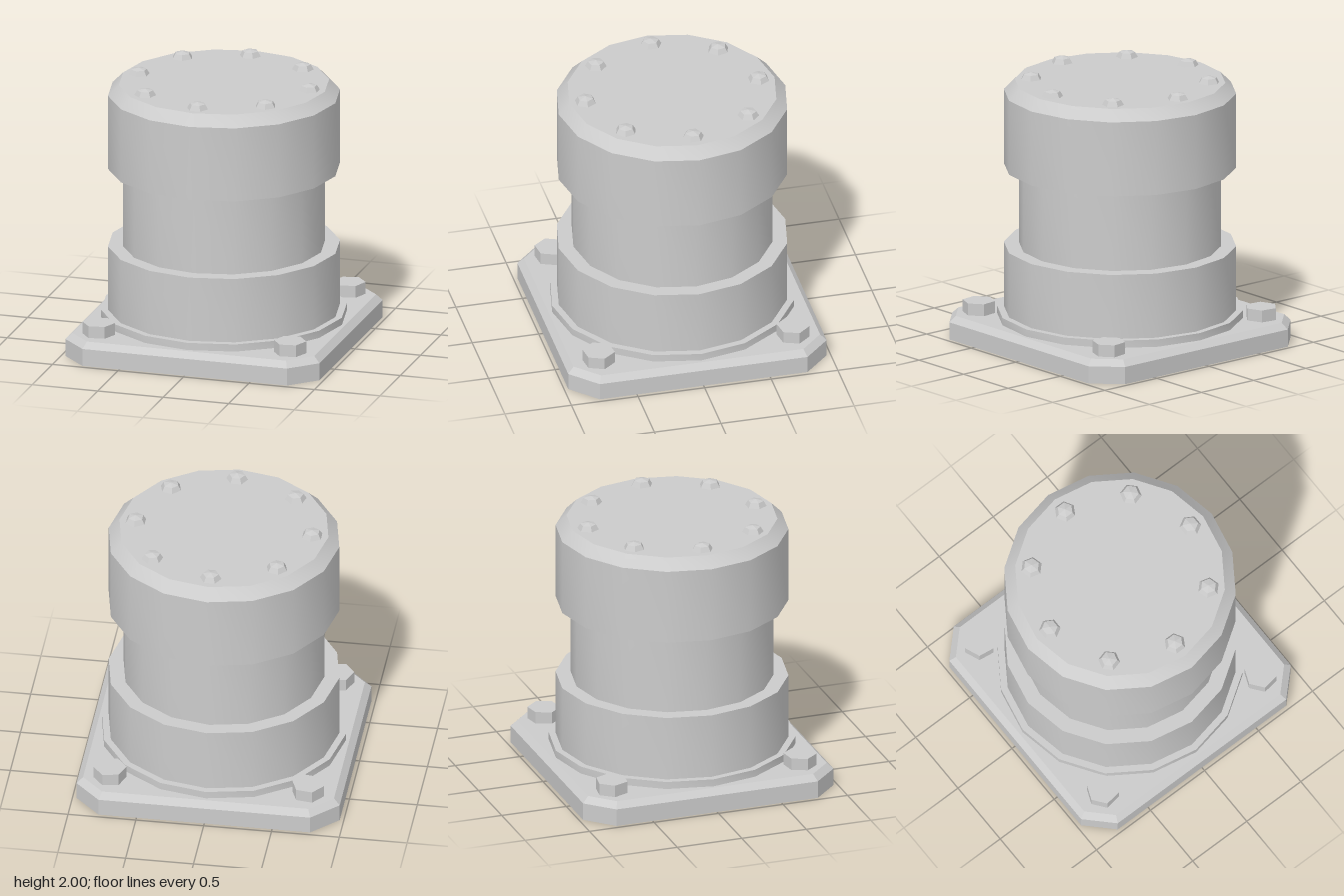
import * as THREE from 'three';
import { toCreasedNormals } from 'three/addons/utils/BufferGeometryUtils.js';
import { ConvexGeometry } from 'three/addons/geometries/ConvexGeometry.js';

const SIDES = 16;
const grey = new THREE.MeshStandardMaterial({ color: 0xcccccc });
const flatGrey = new THREE.MeshStandardMaterial({ color: 0xcccccc, flatShading: true });

function addMesh(parent, name, geometry, material = grey) {
  const mesh = new THREE.Mesh(geometry, material);
  mesh.name = name;
  parent.add(mesh);
  return mesh;
}

// Turned part from [radius, height] points, smooth around and sharp at its rims
function turned(profile) {
  const points = profile.map(([r, y]) => new THREE.Vector2(r, y));
  return toCreasedNormals(new THREE.LatheGeometry(points, SIDES), Math.PI / 6);
}

// Square outline with cut corners at height y
function cutSquare(half, corner, y) {
  const points = [];
  for (const a of [-1, 1]) {
    for (const b of [-1, 1]) {
      points.push(new THREE.Vector3(a * half, y, b * corner));
      points.push(new THREE.Vector3(a * corner, y, b * half));
    }
  }
  return points;
}

export function createModel() {
  const model = new THREE.Group();
  model.name = 'boltedCylinder';

  // Base plate with chamfered top edge
  addMesh(model, 'basePlate', new ConvexGeometry([
    ...cutSquare(0.97, 0.78, 0),
    ...cutSquare(0.97, 0.78, 0.13),
    ...cutSquare(0.925, 0.76, 0.175),
  ]), flatGrey);

  // Stacked drum sections
  addMesh(model, 'footRing', turned([[0.9, 0.175], [0.9, 0.23], [0.85, 0.23]]));
  addMesh(model, 'lowerDrum', turned([[0.85, 0.23], [0.85, 0.715], [0.74, 0.715]]));
  addMesh(model, 'neck', turned([[0.74, 0.715], [0.74, 1.31]]));
  addMesh(model, 'upperDrum', turned([
    [0.74, 1.31], [0.85, 1.31], [0.85, 1.87], [0.77, 1.95], [0, 1.95],
  ]));

  // Hexagonal bolts holding the plate: x, z, turn in degrees
  const plateBolts = [
    [-0.73, -0.73, 8], [0.73, -0.73, -10], [-0.73, 0.73, -8], [0.73, 0.73, -8],
  ];
  const plateBolt = new THREE.CylinderGeometry(0.12, 0.12, 0.09, 6);
  plateBolt.rotateY(Math.PI / 2);
  for (const [x, z, turn] of plateBolts) {
    const bolt = addMesh(model, 'plateBolt', plateBolt, flatGrey);
    bolt.position.set(x, 0.22, z);
    bolt.rotation.y = -THREE.MathUtils.degToRad(turn);
  }

  // Domed hexagonal bolts in a circle on the lid
  const lidBolt = new THREE.LatheGeometry([
    new THREE.Vector2(0.08, 0), new THREE.Vector2(0.058, 0.037), new THREE.Vector2(0, 0.05),
  ], 6);
  lidBolt.rotateY(Math.PI / 2);
  for (let i = 0; i < 8; i++) {
    const angle = (i * Math.PI) / 4;
    const bolt = addMesh(model, 'lidBolt', lidBolt, flatGrey);
    bolt.position.set(0.65 * Math.sin(angle), 1.95, 0.65 * Math.cos(angle));
    bolt.rotation.y = angle;
  }

  return model;
}
